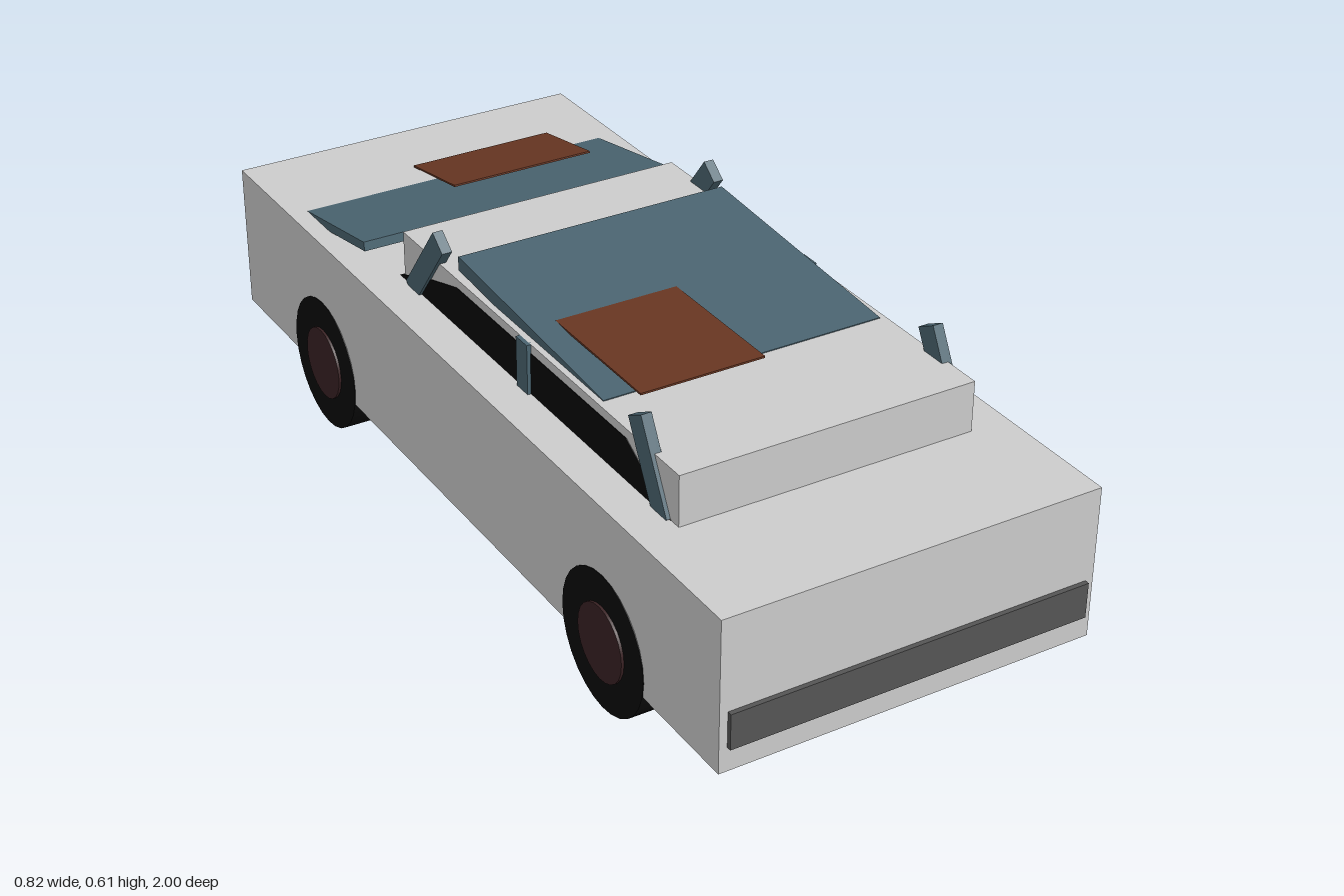
import * as THREE from 'three';

const paint = (name, color, side = THREE.FrontSide) => {
  const m = new THREE.MeshStandardMaterial({ color, side });
  m.name = name;
  return m;
};

export function createModel() {
  const car = new THREE.Group();
  car.name = 'car';

  const bodyGrey = paint('body grey', 0xcccccc);
  const steelBlue = paint('steel blue', 0x4a6470);
  const rust = paint('rust brown', 0x683622);
  const bumperGrey = paint('bumper grey', 0x555555);
  const tyreBlack = paint('tyre black', 0x0b0b0b);
  const glassBlack = paint('glass black', 0x080808);
  const hubBrown = paint('hub brown', 0x3a2224);

  const add = (name, geometry, material, x = 0, y = 0, z = 0) => {
    const mesh = new THREE.Mesh(geometry, material);
    mesh.name = name;
    mesh.position.set(x, y, z);
    car.add(mesh);
    return mesh;
  };
  const box = (name, material, w, h, d, x, y, z) =>
    add(name, new THREE.BoxGeometry(w, h, d), material, x, y, z);

  // Tilted board whose midline runs between two [z, y] points
  const board = (name, material, width, thick, x, [z0, y0], [z1, y1]) => {
    const length = Math.hypot(z1 - z0, y1 - y0);
    const mesh = box(name, material, width, thick, length, x, (y0 + y1) / 2, (z0 + z1) / 2);
    mesh.rotation.x = Math.atan2(y0 - y1, z1 - z0);
    return mesh;
  };

  // Body and cabin blocks
  box('body', bodyGrey, 0.806, 0.324, 1.98, 0, 0.276, 0);
  box('cabin', bodyGrey, 0.636, 0.115, 1.07, 0, 0.4875, 0.18);

  // Window band: side profile extruded across the cabin
  const profile = new THREE.Shape(
    [[0.705, 0.43], [0.535, 0.526], [-0.12, 0.526], [-0.29, 0.475], [-0.375, 0.438], [-0.375, 0.43]]
      .map(([z, y]) => new THREE.Vector2(-z, y)));
  const band = new THREE.ExtrudeGeometry(profile, { depth: 0.639, bevelEnabled: false });
  band.translate(0, 0, -0.3195).rotateY(Math.PI / 2);
  add('windows', band, glassBlack);

  // Roof and boot panels with their loose rust plates
  board('roofPanel', steelBlue, 0.61, 0.03, 0, [-0.137, 0.569], [0.43, 0.532]);
  board('roofPlate', rust, 0.268, 0.004, -0.116, [0.155, 0.563], [0.47, 0.563]);
  board('bootPanel', steelBlue, 0.72, 0.02, -0.002, [-0.74, 0.427], [-0.452, 0.479]);
  board('bootPlate', rust, 0.335, 0.004, 0.0975, [-0.81, 0.441], [-0.613, 0.476]);

  // Bumpers
  for (const [name, s] of [['frontBumper', 1], ['rearBumper', -1]])
    box(name, bumperGrey, 0.772, 0.076, 0.02, 0, 0.204, s * 0.99);

  // Pillars and wheels on both sides
  for (const [side, s] of [['left', 1], ['right', -1]]) {
    const x = s * 0.315;
    board(side + 'FrontPillar', steelBlue, 0.022, 0.05, x, [0.665, 0.428], [0.576, 0.598]);
    board(side + 'RearPillar', steelBlue, 0.022, 0.05, x, [-0.315, 0.43], [-0.184, 0.597]);
    box(side + 'MiddlePillar', steelBlue, 0.024, 0.11, 0.043, x, 0.49, 0.16);

    const wheel = (name, r, hubR, z) => {
      const tyre = new THREE.CylinderGeometry(r, r, 0.108, 28).rotateZ(Math.PI / 2);
      add(name + 'Tyre', tyre, tyreBlack, s * 0.3505, r, z);
      const hub = new THREE.CylinderGeometry(hubR, hubR, 0.02, 24).rotateZ(Math.PI / 2);
      add(name + 'Hub', hub, hubBrown, s * 0.4, r, z);
    };
    wheel(side + 'Front', 0.147, 0.08, 0.593);
    // The left rear wheel is a smaller spare
    if (s > 0) wheel(side + 'Rear', 0.12, 0.067, -0.593);
    else wheel(side + 'Rear', 0.147, 0.08, -0.593);
  }
  return car;
}
